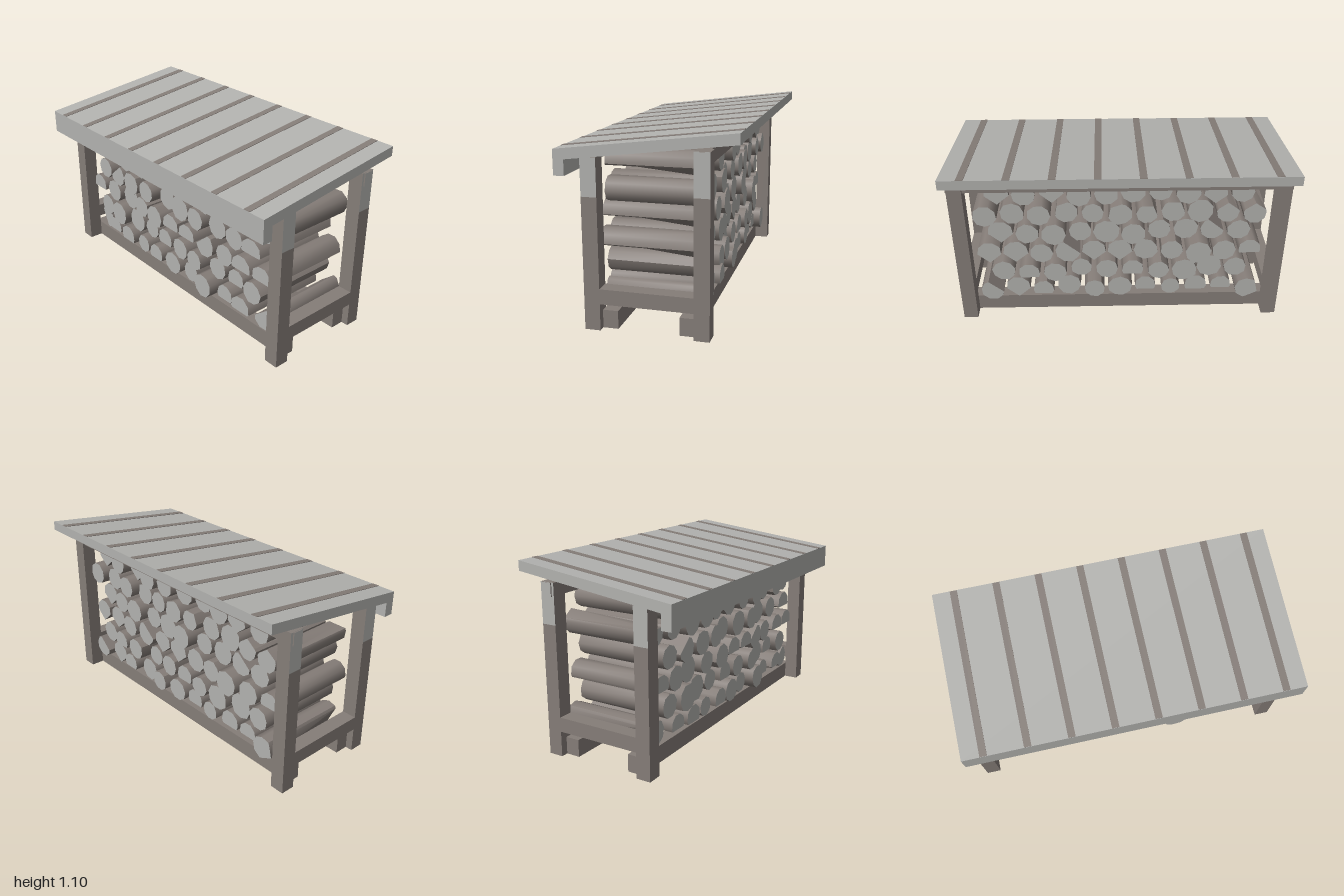
import * as THREE from 'three';
import { toCreasedNormals } from 'three/addons/utils/BufferGeometryUtils.js';

const mat = (name, color, side = THREE.FrontSide) =>
  Object.assign(new THREE.MeshStandardMaterial({ color, side }), { name });

// Cut styles: direction in degrees, depth as a share of the radius,
// slant = the cut tapers out towards the back end
const CUTS = {
  o: null,
  h: { angle: -90, depth: 0.55 },
  f: { angle: -90, depth: 0.4 },
  q: { angle: 130, depth: 0.5 },
  w: { angle: -90, depth: 0.28, slant: true },
  b: { angle: 205, depth: 0.35, slant: true },
  p: { angle: 125, depth: 0.45, slant: true },
  r: { angle: 40, depth: 0.5, slant: true },
  t: { angle: 90, depth: 0.4, slant: true },
};

// Rows from the bottom up: cut style and radius in hundredths for each log
const ROWS = [
  [0.185, -0.8, 'b7.5 f6.5 h7 o6 h6.5 o7.5 o6.5 o7.5 h6.5 w7.7 q7.2'],
  [0.325, -0.72, 'o7 o8 o8 o6.5 h6.8 o7 o6.5 o7 h6.5 o7.2'],
  [0.46, -0.8, 'f7 o7.3 o8 o7 o7.5 w7.7 w7.5 q7.8 o7 w7.7 w7.5'],
  [0.605, -0.72, 'o7 q7.3 o7.5 o7 o7.5 o8 o7 o7.5 o7 w7.7'],
  [0.745, -0.8, 't7 t6.8 o8 p7.3 p6.5 r7.3 o6.5 r7 o7 o7.2 o7'],
  [0.885, -0.72, 'o7 w7 o7.5 o7 o7.5 o7 o7.3 w7.5 o7 w7.5'],
];

function rng(seed) {
  return () => (seed = (seed * 16807) % 2147483647) / 2147483647;
}

// A log lofted between a front and a back cross-section
function logGeometry(r, cut, zFront, zBack, rand) {
  const n = 9;
  const turn = cut ? THREE.MathUtils.degToRad(cut.angle) : rand() * 6;
  const origin = new THREE.Vector2();
  const front = [], back = [];
  for (let i = 0; i < n; i++) {
    // Section point with the cut direction along +x, then turned into place
    const a = (i / n) * Math.PI * 2;
    const p = new THREE.Vector2(Math.cos(a), Math.sin(a)).multiplyScalar(r * (0.96 + rand() * 0.08));
    const clipped = p.clone();
    if (cut && p.x > cut.depth * r) clipped.set(cut.depth * r, p.y * 1.3);
    const tip = cut && cut.slant && i === 0;
    const f = clipped.clone().rotateAround(origin, turn);
    const b = (tip ? p : clipped).clone().rotateAround(origin, turn);
    front.push(new THREE.Vector3(f.x, f.y, zFront));
    back.push(new THREE.Vector3(b.x, b.y, zBack));
  }
  const mid = (ring) => ring.reduce((s, p) => s.add(p), new THREE.Vector3()).divideScalar(n);
  const cf = mid(front), cb = mid(back);
  const sides = [], caps = [];
  for (let i = 0; i < n; i++) {
    const j = (i + 1) % n;
    sides.push(front[i], back[i], back[j], front[i], back[j], front[j]);
    caps.push(cf, front[i], front[j], cb, back[j], back[i]);
  }
  const g = new THREE.BufferGeometry().setFromPoints([...sides, ...caps]);
  g.addGroup(0, sides.length, 0);
  g.addGroup(sides.length, caps.length, 1);
  return toCreasedNormals(g, 0.8);
}

// Remove faces of a box: 2 is the top, 3 the bottom
function openBox(g, faces) {
  g.setIndex([...g.index.array].filter((_, k) => !faces.includes(Math.floor(k / 6))));
  const groups = g.groups.filter((_, f) => !faces.includes(f));
  g.clearGroups();
  groups.forEach((grp, k) => g.addGroup(k * 6, 6, grp.materialIndex));
}

export function createModel() {
  const model = new THREE.Group();
  model.name = 'firewoodShelter';
  const brown = mat('brownWood', 0x857d78, THREE.DoubleSide);
  const grey = mat('paleGreyWood', 0xb2b2af, THREE.DoubleSide);

  const add = (name, geometry, material, parent = model) => {
    const mesh = new THREE.Mesh(geometry, material);
    mesh.name = name;
    parent.add(mesh);
    return mesh;
  };
  // Box given by its limits on each axis, with optional open faces
  const block = (name, [x0, x1], [y0, y1], [z0, z1], material, open = []) => {
    const g = new THREE.BoxGeometry(x1 - x0, y1 - y0, z1 - z0);
    g.translate((x0 + x1) / 2, (y0 + y1) / 2, (z0 + z1) / 2);
    openBox(g, open);
    return add(name, g, material);
  };

  // Hollow posts with pale upper outer faces, and the side rails between them
  for (const s of [1, -1]) {
    const x = s > 0 ? [0.905, 0.993] : [-0.993, -0.905];
    const upper = Array(6).fill(brown);
    upper[s > 0 ? 0 : 1] = grey;
    const side = s > 0 ? 'left' : 'right';
    block(side + 'FrontPost', x, [0, 0.735], [0.258, 0.345], brown, [2, 3]);
    block(side + 'FrontPostTop', x, [0.735, 0.945], [0.258, 0.345], upper, [3]);
    block(side + 'BackPost', x, [0, 0.765], [-0.343, -0.256], brown, [2, 3]);
    block(side + 'BackPostTop', x, [0.765, 1.0], [-0.343, -0.256], upper, [3]);
    block(side + 'Rail', x, [0.15, 0.235], [-0.256, 0.258], brown);
  }

  // Bottom bearers, open underneath, and the beam under the back of the roof
  block('frontBearer', [-0.95, 0.95], [0, 0.102], [0.172, 0.258], brown, [3]);
  block('backBearer', [-0.95, 0.95], [0, 0.102], [-0.256, -0.17], brown, [3]);
  const ends = [grey, grey, brown, brown, brown, brown];
  block('backTopBeam', [-1, 1], [0.922, 0.999], [-0.328, -0.27], ends);

  // Sloping roof with a front fascia, drawn as (-z, y)
  const profile = new THREE.Shape([
    [-0.49, 0.84], [-0.43, 0.84], [-0.43, 0.928], [0.49, 1.042], [0.49, 1.1], [-0.49, 0.98],
  ].map(([u, v]) => new THREE.Vector2(u, v)));
  const roof = new THREE.ExtrudeGeometry(profile, { depth: 2, bevelEnabled: false });
  roof.translate(0, 0, -1).rotateY(Math.PI / 2);
  add('roof', roof, grey);

  // Thin battens on the roof
  for (let i = 0; i < 8; i++) {
    const batten = add('roofBatten', new THREE.BoxGeometry(0.042, 0.005, 0.984), brown);
    batten.position.set(-0.875 + i * 0.25, 1.04, 0);
    batten.rotation.x = Math.atan2(0.12, 0.98);
  }

  // Stacked logs
  const rand = rng(4711);
  const stack = new THREE.Group();
  stack.name = 'logStack';
  model.add(stack);
  for (const [y, x0, codes] of ROWS) {
    codes.split(' ').forEach((code, i) => {
      const r = parseFloat(code.slice(1)) / 100;
      const shift = (rand() - 0.5) * 0.06;
      const g = logGeometry(r, CUTS[code[0]], 0.285 + shift, -0.285 + shift, rand);
      add('log', g, [brown, grey], stack).position.set(x0 + i * 0.16, y, 0);
    });
  }
  return model;
}
